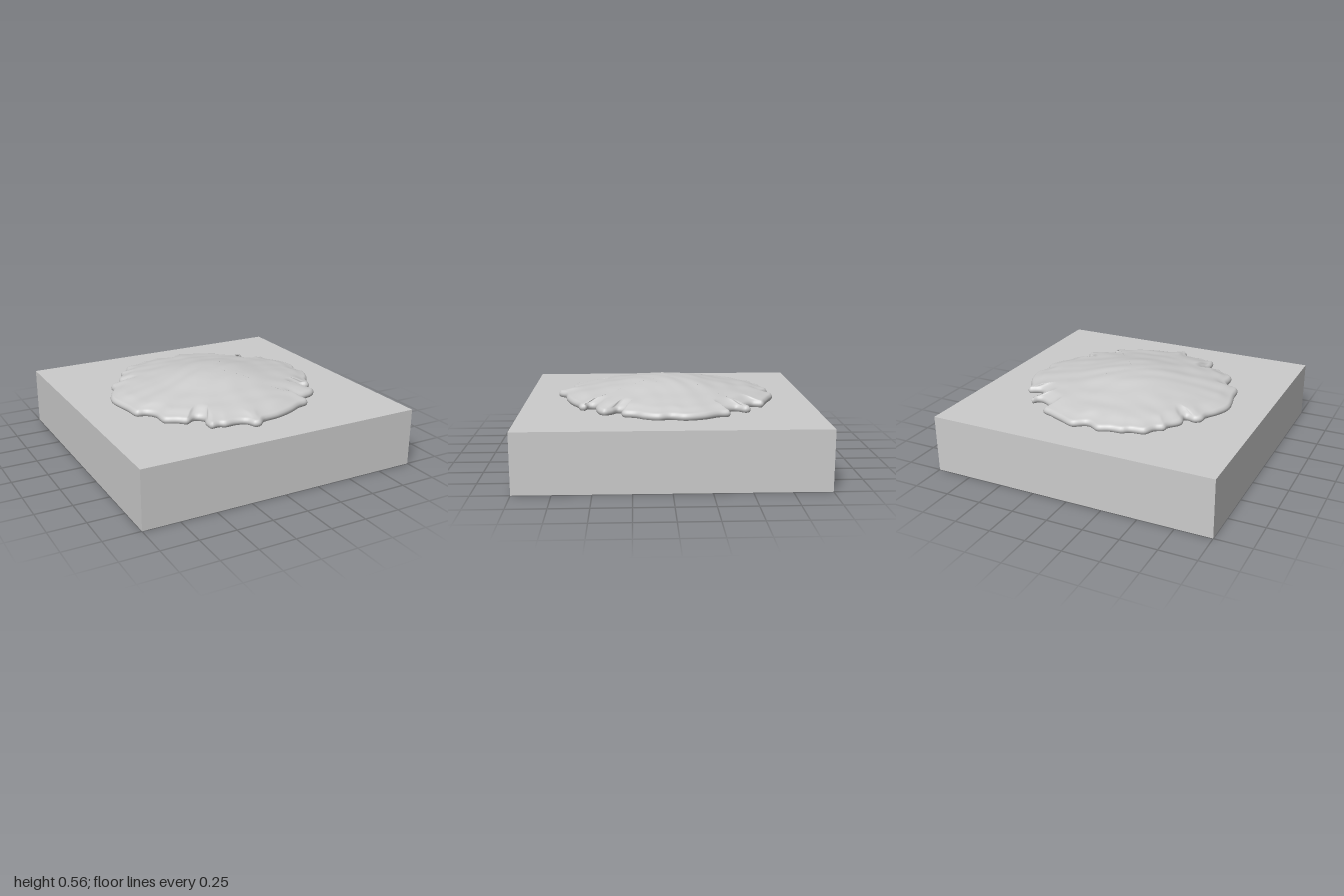
import * as THREE from 'three';

// Wavy rim of the puddle as x, z pairs
const RIM = [
  0.75, -0.09, 0.72, 0.0, 0.74, 0.08, 0.70, 0.18, 0.66, 0.23, 0.63, 0.31, 0.60, 0.32, 0.55, 0.30,
  0.52, 0.34, 0.56, 0.38, 0.585, 0.43, 0.55, 0.47, 0.48, 0.49, 0.40, 0.50, 0.39, 0.54, 0.43, 0.56,
  0.42, 0.60, 0.35, 0.62, 0.25, 0.67, 0.13, 0.71, 0.0, 0.73, -0.06, 0.78, -0.10, 0.77, -0.13, 0.71,
  -0.19, 0.69, -0.27, 0.69, -0.30, 0.67, -0.36, 0.67, -0.37, 0.61, -0.35, 0.54, -0.39, 0.50,
  -0.46, 0.53, -0.51, 0.49, -0.59, 0.44, -0.60, 0.32, -0.64, 0.27, -0.70, 0.25, -0.72, 0.13,
  -0.75, -0.06, -0.71, -0.17, -0.66, -0.25, -0.65, -0.32, -0.61, -0.35, -0.54, -0.34, -0.55, -0.42,
  -0.49, -0.50, -0.48, -0.55, -0.43, -0.58, -0.39, -0.65, -0.29, -0.67, -0.25, -0.70, -0.17, -0.71,
  -0.09, -0.74, 0.0, -0.70, 0.09, -0.75, 0.20, -0.71, 0.30, -0.67, 0.37, -0.64, 0.36, -0.57,
  0.42, -0.52, 0.48, -0.50, 0.52, -0.54, 0.535, -0.50, 0.49, -0.44, 0.55, -0.36, 0.64, -0.39,
  0.66, -0.32, 0.72, -0.22,
];

// Height of the smooth dome by distance from its centre
const DOME = [[0, 0.557], [0.1, 0.556], [0.2, 0.547], [0.3, 0.53], [0.4, 0.51], [0.5, 0.493], [0.6, 0.477], [0.8, 0.445]];
function domeHeight(r) {
  for (let i = 1; i < DOME.length; i++) {
    const [r0, y0] = DOME[i - 1], [r1, y1] = DOME[i];
    if (r <= r1) return y0 + (y1 - y0) * (r - r0) / (r1 - r0);
  }
  return 0.445;
}

// Soft irregular ripples
const ripple = (x, z) =>
  0.0025 * Math.sin(17 * x + 4 * Math.sin(6 * z)) * Math.sin(21 * z + 3 * Math.sin(5 * x)) +
  0.0015 * Math.sin(31 * z + 9 * x + 1);

function puddleGeometry() {
  const n = 360, pos = [], index = [];
  const controls = [];
  for (let i = 0; i < RIM.length; i += 2) controls.push(new THREE.Vector3(RIM[i], 0, RIM[i + 1]));
  const outline = new THREE.CatmullRomCurve3(controls, true).getSpacedPoints(n).slice(0, n);

  // Rounded rim: [inward offset, height]
  const lip = [[0.012, 0.399], [0.004, 0.407], [0, 0.42], [0.003, 0.431], [0.009, 0.44], [0.016, 0.446]];
  const inset = (i, d) => {
    const p = outline[i];
    const t = outline[(i + 1) % n].clone().sub(outline[(i + n - 1) % n]).normalize();
    return [p.x - t.z * d, p.z + t.x * d];
  };
  for (const [d, y] of lip)
    for (let i = 0; i < n; i++) {
      const [x, z] = inset(i, d);
      pos.push(x, y, z);
    }

  // Dome rings shrinking to the centre
  const rings = 26;
  for (let k = 1; k < rings; k++) {
    const s = 1 - Math.pow(k / rings, 1.35);
    const blend = THREE.MathUtils.smoothstep(1 - s, -0.03, 0.13);
    for (let i = 0; i < n; i++) {
      const [ex, ez] = inset(i, 0.016);
      const x = ex * s, z = ez * s;
      const top = domeHeight(Math.hypot(x, z)) + ripple(x, z);
      pos.push(x, THREE.MathUtils.lerp(0.446, top, blend), z);
    }
  }
  const count = lip.length + rings - 1;
  for (let k = 0; k < count - 1; k++)
    for (let i = 0; i < n; i++) {
      const a = k * n + i, b = k * n + (i + 1) % n;
      index.push(a, a + n, b, b, a + n, b + n);
    }
  // Centre cap
  const centre = pos.length / 3, last = (count - 1) * n;
  pos.push(0, domeHeight(0) + ripple(0, 0), 0);
  for (let i = 0; i < n; i++) index.push(last + i, centre, last + (i + 1) % n);

  const g = new THREE.BufferGeometry();
  g.setAttribute('position', new THREE.Float32BufferAttribute(pos, 3));
  g.setIndex(index);
  g.computeVertexNormals();
  return g;
}

export function createModel() {
  const group = new THREE.Group();
  const grey = new THREE.MeshStandardMaterial({ color: 0xcccccc });
  grey.name = 'light grey';

  // Square slab
  const slab = new THREE.Mesh(new THREE.BoxGeometry(2, 0.4, 2), grey);
  slab.name = 'slab';
  slab.position.y = 0.2;
  group.add(slab);

  // Spread of thick liquid on top
  const puddle = new THREE.Mesh(puddleGeometry(), grey);
  puddle.name = 'puddle';
  group.add(puddle);
  return group;
}
